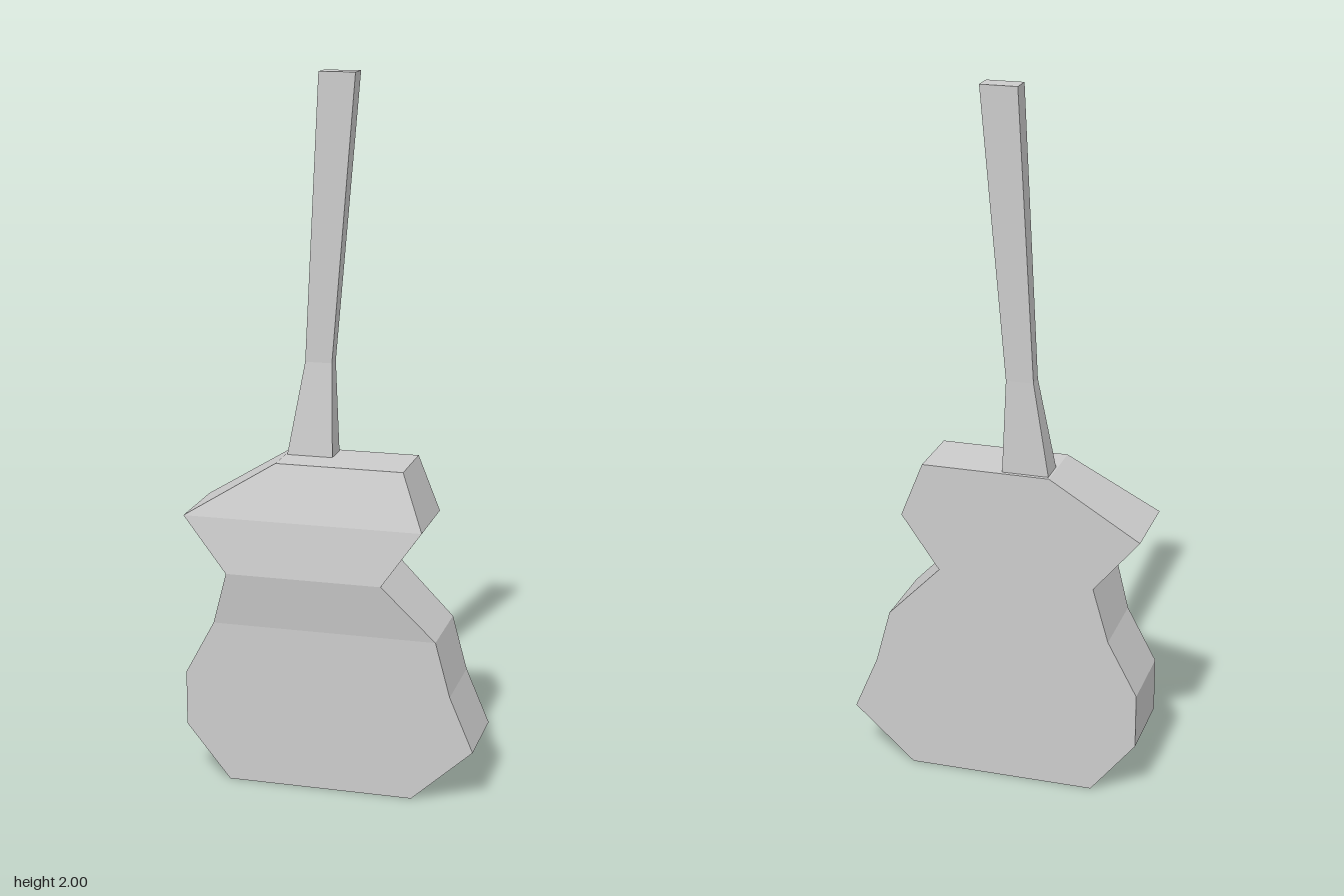
import * as THREE from 'three';

// Skin rectangular cross-sections [y, left x, right x, back z, front z] from bottom to top
function loft(name, sections) {
  const positions = sections.flatMap(([y, x0, x1, zb, zf]) =>
    [x0, y, zf, x1, y, zf, x1, y, zb, x0, y, zb]);
  const index = [];
  const quad = (a, b, c, d) => index.push(a, b, c, a, c, d);
  const last = (sections.length - 1) * 4;
  for (let r = 0; r < last; r += 4) {
    for (let j = 0; j < 4; j++) {
      const k = (j + 1) % 4;
      quad(r + j, r + k, r + 4 + k, r + 4 + j);
    }
  }
  quad(3, 2, 1, 0);
  quad(last, last + 1, last + 2, last + 3);

  const indexed = new THREE.BufferGeometry();
  indexed.setAttribute('position', new THREE.Float32BufferAttribute(positions, 3));
  indexed.setIndex(index);
  const geometry = indexed.toNonIndexed();
  geometry.computeVertexNormals();
  const material = new THREE.MeshStandardMaterial({ color: 0xcccccc, flatShading: true });
  const mesh = new THREE.Mesh(geometry, material);
  mesh.name = name;
  return mesh;
}

export function createModel() {
  const group = new THREE.Group();
  group.name = 'guitar';

  // Waisted body with a flat back
  const back = -0.127;
  group.add(loft('body', [
    [0, -0.29, 0.243, back, 0.104],
    [0.157, -0.417, 0.417, back, 0.104],
    [0.314, -0.417, 0.35, back, 0.104],
    [0.47, -0.333, 0.308, back, 0.104],
    [0.625, -0.288, 0.157, back, 0.125],
    [0.78, -0.417, 0.266, back, 0.104],
    [0.937, -0.16, 0.203, back, 0.062],
  ]));

  // Leaning neck, flared at its heel
  group.add(loft('neck', [
    [0.937, -0.155, -0.024, -0.115, -0.038],
    [1.2, -0.11, -0.033, -0.109, -0.067],
    [2, -0.07, 0.033, -0.127, -0.067],
  ]));

  return group;
}
